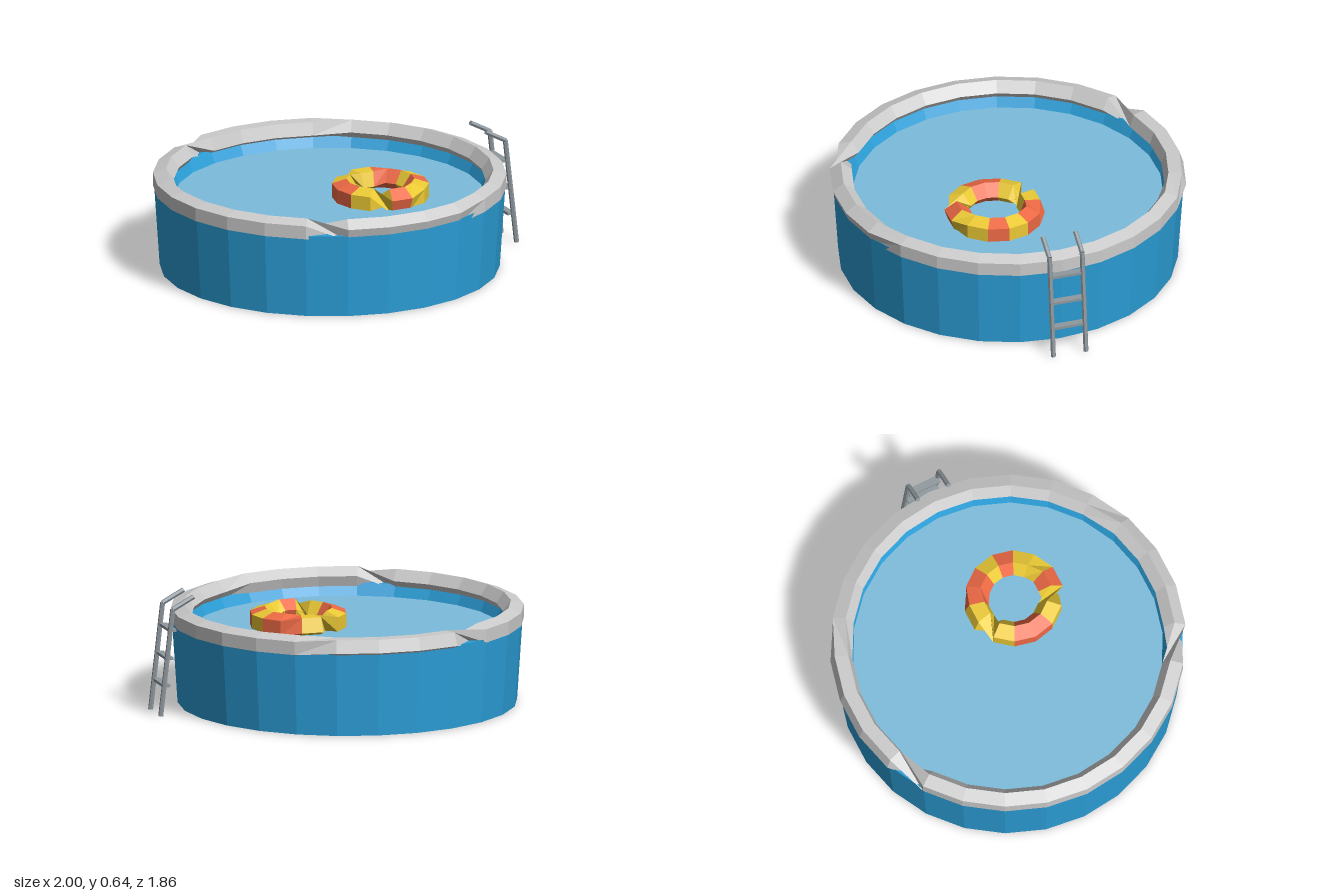
import * as THREE from 'three';

const paint = (color, side = THREE.FrontSide) =>
  new THREE.MeshStandardMaterial({ color, flatShading: true, side });

// Five-sided hoop from segment `from` to `to`; its section turns a quarter
// where the hoop runs along x, which gives the kinked stretches.
function hoop(radius, tube, steps, from, to) {
  const point = (i, k) => {
    const phi = (i / steps) * Math.PI * 2;
    const s = Math.sin(phi);
    const turn = Math.abs(s) > 0.9 ? -Math.sign(s) * Math.PI / 2 : 0;
    const a = Math.PI / 5 + (k / 5) * Math.PI * 2 + turn;
    const r = radius + tube * Math.cos(a);
    return [r * Math.cos(phi), tube * Math.sin(a), r * s];
  };
  const pos = [];
  for (let i = from; i < to; i++) {
    for (let k = 0; k < 5; k++) {
      const a = point(i, k), b = point(i, k + 1), c = point(i + 1, k + 1), d = point(i + 1, k);
      pos.push(...a, ...b, ...c, ...a, ...c, ...d);
    }
  }
  const geo = new THREE.BufferGeometry();
  geo.setAttribute('position', new THREE.Float32BufferAttribute(pos, 3));
  geo.computeVertexNormals();
  return geo;
}

// Round bar between two points
function bar(a, b, radius, material) {
  const dir = b.clone().sub(a);
  const mesh = new THREE.Mesh(new THREE.CylinderGeometry(radius, radius, dir.length(), 6), material);
  mesh.position.copy(a).add(b).multiplyScalar(0.5);
  mesh.quaternion.setFromUnitVectors(new THREE.Vector3(0, 1, 0), dir.normalize());
  return mesh;
}

export function createModel() {
  const model = new THREE.Group();
  const add = (parent, name, mesh) => {
    mesh.name = name;
    parent.add(mesh);
    return mesh;
  };
  const SIDES = 26;

  // Pool: tapered wall with floor, water and rim
  const pool = add(model, 'pool', new THREE.Group());
  pool.position.x = -0.07;
  const profile = [[0, 0], [0.895, 0], [0.925, 0.45], [0.85, 0.45], [0.815, 0.38]]
    .map(([x, y]) => new THREE.Vector2(x, y));
  add(pool, 'wall', new THREE.Mesh(
    new THREE.LatheGeometry(profile, SIDES, Math.PI / SIDES), paint(0x2b9fd8, THREE.DoubleSide)));

  const water = add(pool, 'water', new THREE.Mesh(
    new THREE.CircleGeometry(0.818, SIDES), paint(0x7cbcdc)));
  water.rotation.x = -Math.PI / 2;
  water.position.y = 0.385;

  const rim = add(pool, 'rim', new THREE.Mesh(hoop(0.881, 0.061, SIDES, 0, SIDES), paint(0xcccccc)));
  rim.position.y = 0.47;

  // Swim ring in red and yellow stretches
  const ring = add(model, 'swimRing', new THREE.Group());
  ring.position.set(0.155, 0.42, 0.147);
  const red = paint(0xee6a45), yellow = paint(0xecca35);
  const stripes = 'RYYRYYRRYYYRRY';
  [...stripes].forEach((c, i) => add(ring, c === 'R' ? 'redStripe' : 'yellowStripe',
    new THREE.Mesh(hoop(0.2, 0.069, stripes.length, i, i + 1), c === 'R' ? red : yellow)));

  // Ladder: two bent rails and three treads
  const ladder = add(model, 'ladder', new THREE.Group());
  const metal = paint(0x8f999f);
  for (const z of [-0.09, 0.09]) {
    const foot = new THREE.Vector3(0.986, 0, z);
    const bend = new THREE.Vector3(0.92, 0.57, z);
    const tip = new THREE.Vector3(0.805, 0.632, z);
    add(ladder, 'rail', bar(foot, bend, 0.0135, metal));
    add(ladder, 'handle', bar(bend, tip, 0.0135, metal));
  }
  for (const y of [0.16, 0.305, 0.455]) {
    const tread = add(ladder, 'tread', new THREE.Mesh(new THREE.BoxGeometry(0.04, 0.015, 0.18), metal));
    tread.position.set(0.986 - 0.116 * y - 0.014, y, 0);
  }
  return model;
}
